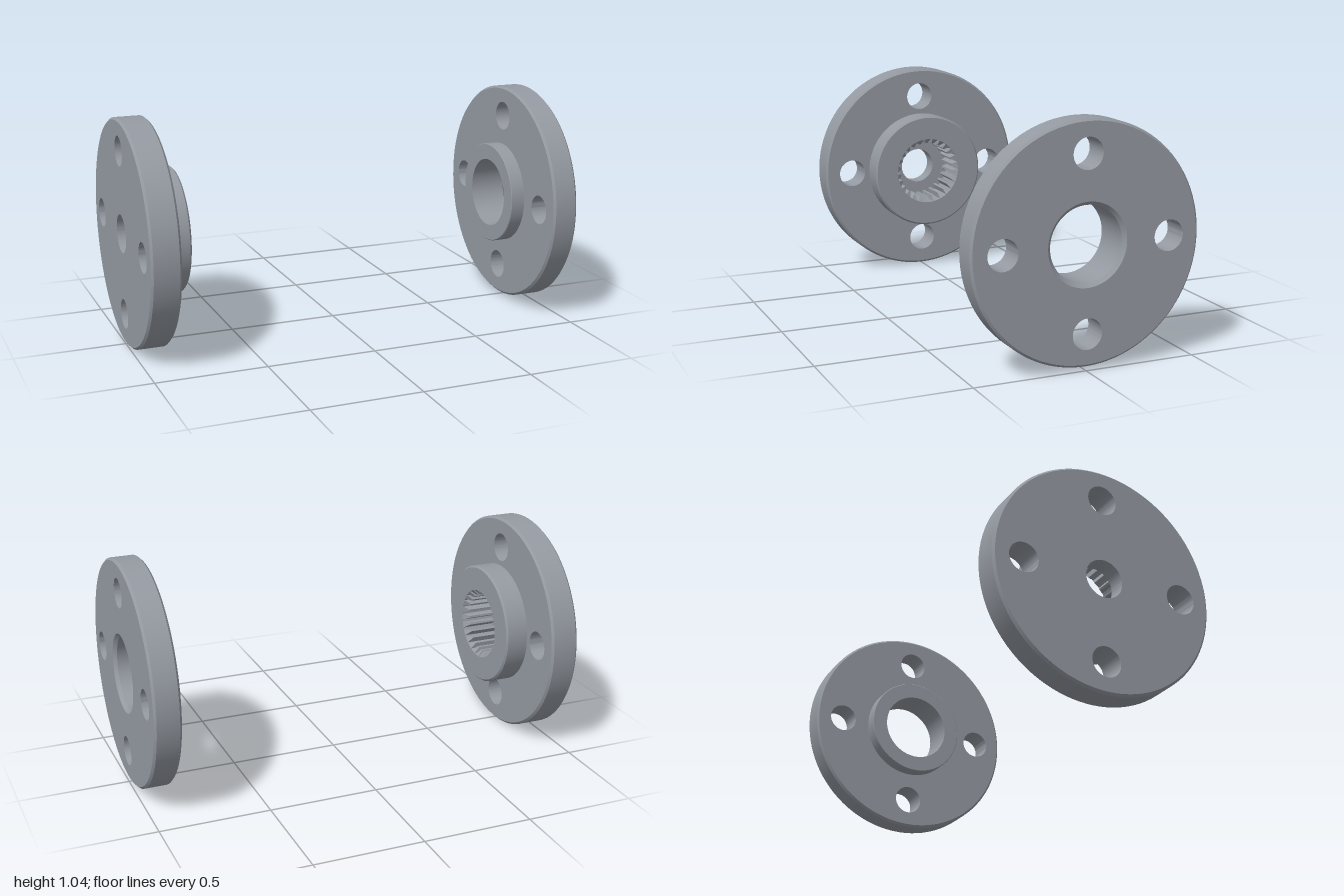
import * as THREE from 'three';
import { toCreasedNormals } from 'three/addons/utils/BufferGeometryUtils.js';

const R = 0.5125, CH = 0.01;          // flange radius and edge chamfer
const SEG = 96;

export function createModel() {
  const steel = new THREE.MeshStandardMaterial({ color: 0x959aa2 });
  steel.name = 'steel grey';

  const add = (group, geo, name) => {
    const mesh = new THREE.Mesh(toCreasedNormals(geo, 0.5), steel);
    mesh.name = name;
    group.add(mesh);
  };

  // Turned surface around the x axis; points are [radius, x], outside on the right of travel
  const turned = (pts) => new THREE.LatheGeometry(
    pts.map(([r, x]) => new THREE.Vector2(r, x)), SEG).rotateZ(-Math.PI / 2);

  // Plate from x0 to x1 with a centre hole and four bolt holes
  const plate = (x0, x1, bore) => {
    const shape = new THREE.Shape().absarc(0, 0, R - CH, 0, Math.PI * 2, false);
    const hole = (x, y, r) => shape.holes.push(new THREE.Path().absarc(x, y, r, 0, Math.PI * 2, true));
    hole(0, 0, bore);
    for (let i = 0; i < 4; i++) {
      const a = 0.01 + i * Math.PI / 2;
      hole(0.373 * Math.cos(a), 0.373 * Math.sin(a), 0.067);
    }
    return new THREE.ExtrudeGeometry(shape, { depth: x1 - x0, bevelEnabled: false, curveSegments: 48 })
      .rotateY(Math.PI / 2).translate(x0, 0, 0);
  };

  const rim = (x0, x1) => turned([[R - CH, x0], [R, x0 + CH], [R, x1 - CH], [R - CH, x1]]);

  // Internal spline: face ring, chamfered tooth ring, floor ring
  const spline = (face, floor, root, tip, teeth) => {
    const pos = [], index = [], prof = [];
    const pitch = Math.PI * 2 / teeth;
    for (let i = 0; i < teeth; i++)
      for (const [f, r] of [[-0.36, root], [-0.14, tip], [0.14, tip], [0.36, root]])
        prof.push([(i + f) * pitch, r]);
    const n = prof.length;
    const ring = (fn) => prof.forEach(([a, r]) => {
      const [rad, x] = fn(r);
      pos.push(x, rad * Math.cos(a), rad * Math.sin(a));
    });
    ring(() => [root, face]);
    ring((r) => [r, face - (root - r)]);
    ring((r) => [r, floor]);
    for (let k = 0; k < 2; k++)
      for (let i = 0; i < n; i++) {
        const a = k * n + i, b = k * n + (i + 1) % n;
        // chamfer triangles collapse at the tooth roots
        if (k === 1 || i % 4 === 1) index.push(a, b, b + n, a, b + n, a + n);
        else if (i % 4 === 0) index.push(a, b, b + n);
        else if (i % 4 === 2) index.push(a, b, a + n);
      }
    const geo = new THREE.BufferGeometry();
    geo.setAttribute('position', new THREE.Float32BufferAttribute(pos, 3));
    geo.setIndex(index);
    geo.computeVertexNormals();
    return geo;
  };

  const model = new THREE.Group();
  model.name = 'couplingFlanges';

  // Splined flange on the -x side
  const splined = new THREE.Group();
  splined.name = 'splinedFlange';
  splined.position.y = 0.516;
  add(splined, plate(-1, -0.868, 0.17), 'splinedPlate');
  add(splined, rim(-1, -0.868), 'splinedRim');
  add(splined, turned([[0.283, -0.868], [0.283, -0.768], [0.275, -0.76], [0.165, -0.76]]), 'splinedHub');
  add(splined, spline(-0.76, -0.92, 0.165, 0.14, 26), 'splineTeeth');
  add(splined, turned([[0.17, -0.92], [0.086, -0.92], [0.086, -1], [0.17, -1]]), 'boreFloor');

  // Plain bored flange on the +x side
  const bored = new THREE.Group();
  bored.name = 'boredFlange';
  bored.position.y = 0.532;
  add(bored, plate(0.88, 1, 0.178), 'boredPlate');
  add(bored, rim(0.88, 1), 'boredRim');
  add(bored, turned([[0.178, 1], [0.162, 0.984], [0.162, 0.813], [0.234, 0.813],
    [0.237, 0.816], [0.237, 0.88]]), 'boredHub');

  model.add(splined, bored);
  return model;
}
